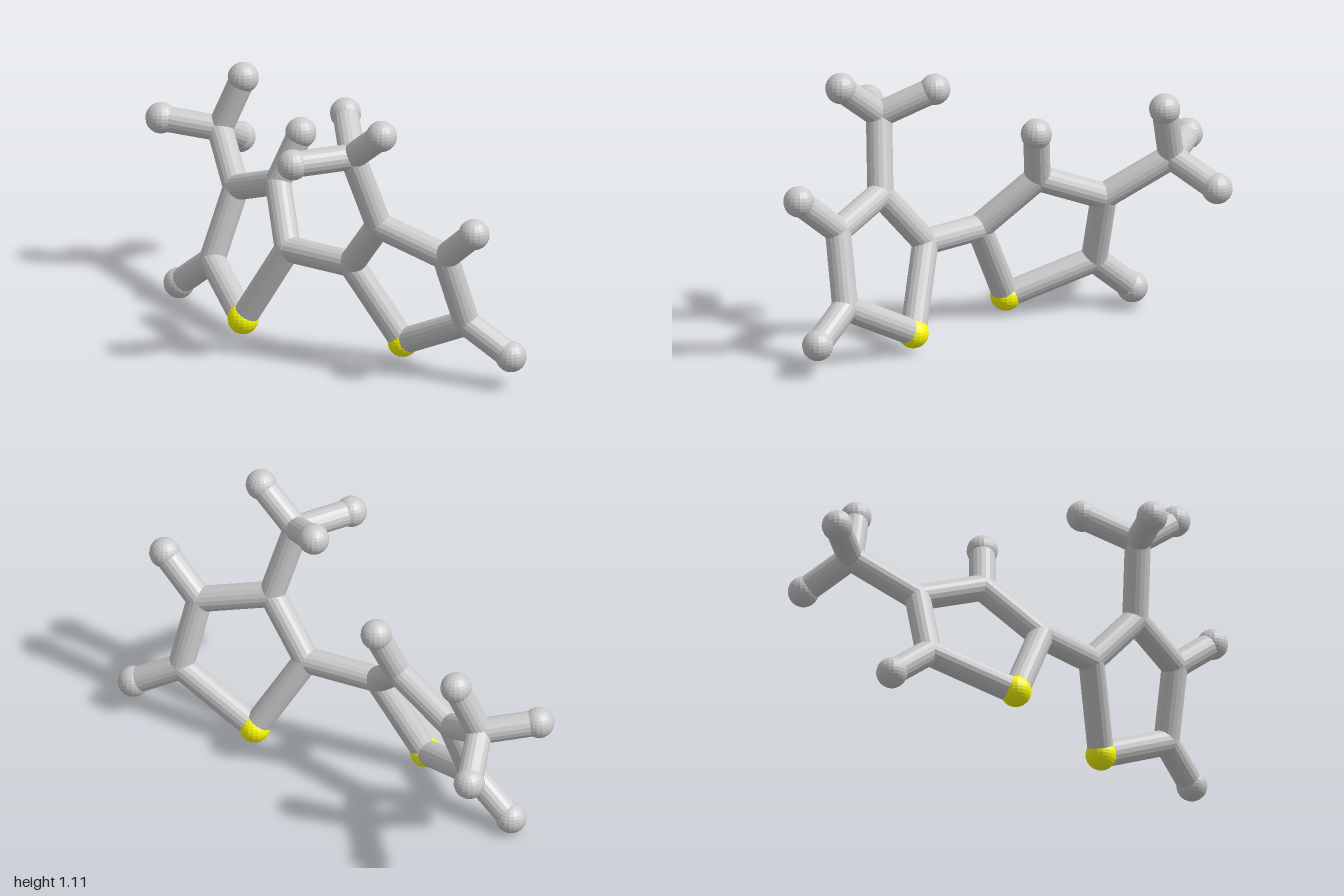
import * as THREE from 'three';

const ROD = 0.052, BALL = 0.062;

// Atom positions; prefix a = ring on -x, b = ring on +x
const atoms = {
  aS: [-0.22, 0.083, 0.175], aC2: [-0.04, 0.405, 0.10], aC3: [-0.235, 0.605, -0.025],
  aC4: [-0.525, 0.495, -0.065], aC5: [-0.55, 0.21, 0.04], aCMethyl: [-0.76, 0.65, -0.193],
  aH3: [-0.18, 0.808, -0.097], aH5: [-0.737, 0.067, 0.046],
  aHM1: [-0.688, 0.868, -0.252], aHM2: [-0.94, 0.683, -0.042], aHM3: [-0.85, 0.547, -0.382],
  bS: [0.413, 0.088, -0.103], bC2: [0.26, 0.405, 0.035], bC3: [0.455, 0.625, 0.065],
  bC4: [0.73, 0.54, -0.04], bC5: [0.757, 0.25, -0.13], bCMethyl: [0.40, 0.92, 0.155],
  bH4: [0.91, 0.683, -0.03], bH5: [0.938, 0.138, -0.202],
  bHM1: [0.22, 1.025, 0.028], bHM2: [0.578, 1.053, 0.162], bHM3: [0.298, 0.913, 0.382],
};

const bonds = [
  'aS aC2', 'aC2 aC3', 'aC3 aC4', 'aC4 aC5', 'aC5 aS', 'aC3 aH3', 'aC5 aH5',
  'aC4 aCMethyl', 'aCMethyl aHM1', 'aCMethyl aHM2', 'aCMethyl aHM3',
  'bS bC2', 'bC2 bC3', 'bC3 bC4', 'bC4 bC5', 'bC5 bS', 'bC4 bH4', 'bC5 bH5',
  'bC3 bCMethyl', 'bCMethyl bHM1', 'bCMethyl bHM2', 'bCMethyl bHM3',
  'aC2 bC2',
];

export function createModel() {
  const group = new THREE.Group();
  const grey = new THREE.MeshStandardMaterial({ color: 0xcccccc, flatShading: true });
  const yellow = new THREE.MeshStandardMaterial({ color: 0xffff00, flatShading: true });
  const ball = new THREE.SphereGeometry(BALL, 18, 14);
  const joint = new THREE.SphereGeometry(ROD, 18, 14);
  const up = new THREE.Vector3(0, 1, 0);

  // Yellow sulfur balls, grey hydrogen ends, carbon joints as thick as the rods
  const kinds = {
    S: ['sulfurBall', ball, yellow],
    H: ['hydrogenBall', ball, grey],
    C: ['carbonJoint', joint, grey],
  };
  for (const [key, p] of Object.entries(atoms)) {
    const [name, geometry, material] = kinds[key[1]];
    const mesh = new THREE.Mesh(geometry, material);
    mesh.name = name;
    mesh.position.set(...p);
    group.add(mesh);
  }

  // Rods between bonded atoms
  for (const bond of bonds) {
    const [a, b] = bond.split(' ').map((k) => new THREE.Vector3(...atoms[k]));
    const dir = b.clone().sub(a);
    const rod = new THREE.Mesh(new THREE.CylinderGeometry(ROD, ROD, dir.length(), 18, 1, true), grey);
    rod.name = 'bondRod';
    rod.position.copy(a).add(b).multiplyScalar(0.5);
    rod.quaternion.setFromUnitVectors(up, dir.normalize());
    group.add(rod);
  }
  return group;
}
